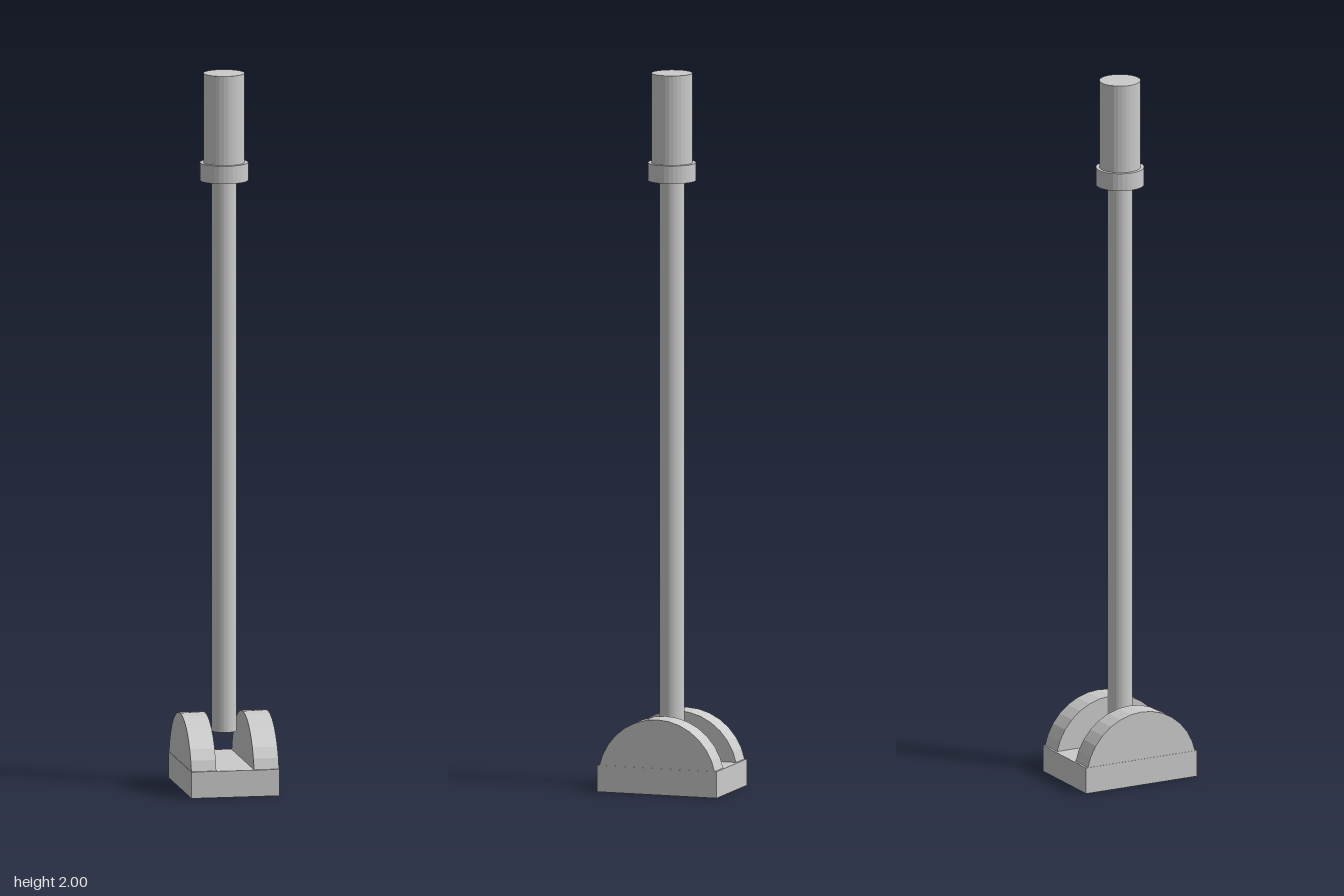
import * as THREE from 'three';

const material = new THREE.MeshStandardMaterial({ color: 0xcccccc, flatShading: true });

export function createModel() {
  const model = new THREE.Group();
  model.name = 'lever';

  const add = (name, geometry, x, y) => {
    const mesh = new THREE.Mesh(geometry, material);
    mesh.name = name;
    mesh.position.set(x, y, 0);
    model.add(mesh);
  };

  // Upright cylinder between two heights
  const post = (name, radius, bottom, top) =>
    add(name, new THREE.CylinderGeometry(radius, radius, top - bottom, 32), 0, (bottom + top) / 2);

  // Base block
  const baseHeight = 0.074;
  add('base', new THREE.BoxGeometry(0.248, baseHeight, 0.35), 0, baseHeight / 2);

  // Half-round cheeks on both sides, rising from the middle of the base
  for (const [name, side] of [['leftCheek', 1], ['rightCheek', -1]]) {
    const cheek = new THREE.CylinderGeometry(0.173, 0.173, 0.07, 16, 1, false, 0, Math.PI);
    cheek.rotateZ(Math.PI / 2);
    add(name, cheek, side * 0.088, baseHeight / 2);
  }

  // Rod, collar and grip
  post('rod', 0.034, 0.157, 1.7);
  post('collar', 0.067, 1.7, 1.75);
  post('grip', 0.057, 1.75, 2);

  return model;
}
